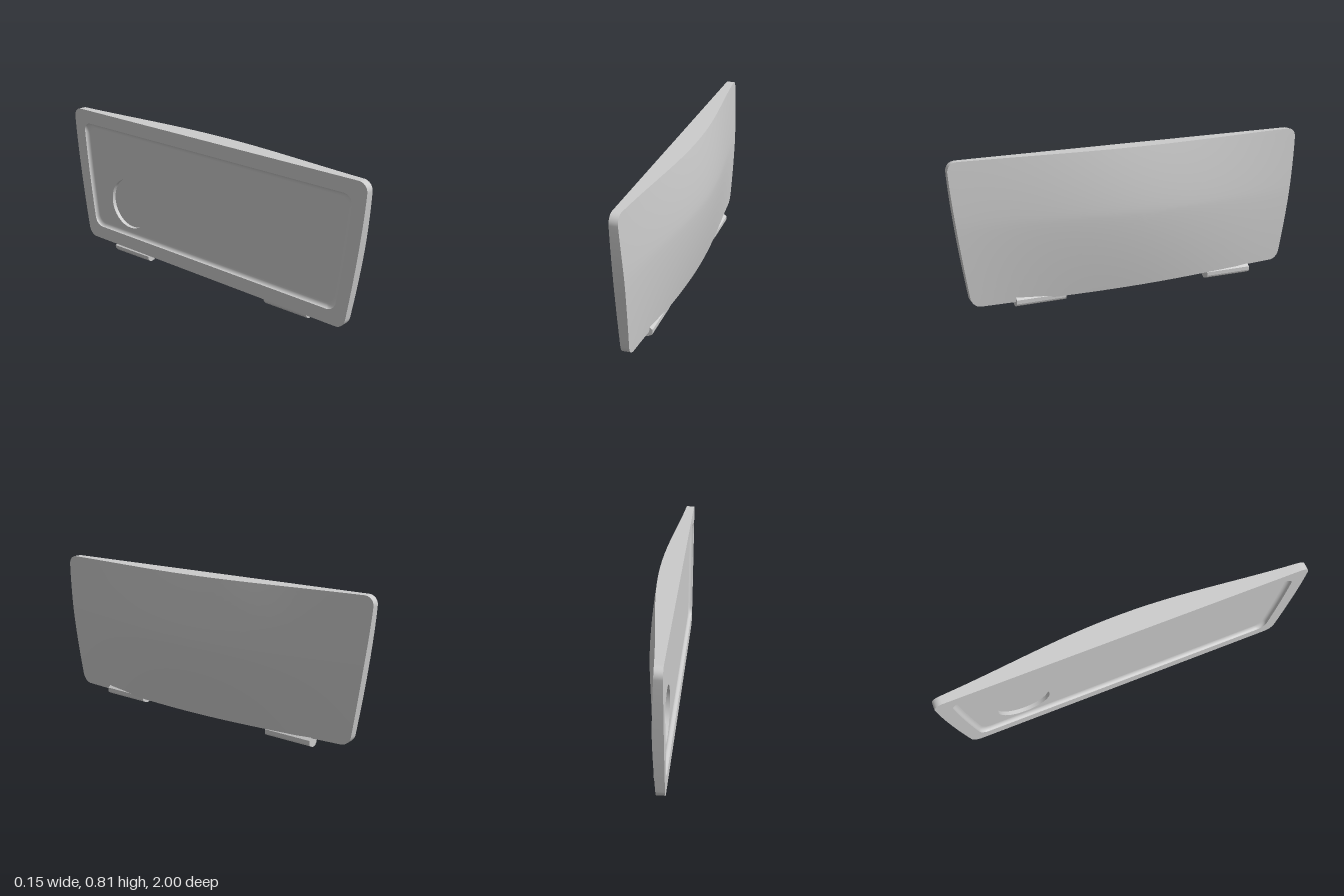
import * as THREE from 'three';

const BACK = -0.077, FLOOR = -0.057, POCKET = -0.035;
const material = new THREE.MeshStandardMaterial({ color: 0xcccccc });

// Bulged outer face: x as a function of height and length
function frontX(y, z) {
  const drop = 0.176 * Math.pow(Math.abs(y - 0.46), 1.5);
  const end = -0.026 - 0.3 * drop;
  const middle = 0.074 - drop;
  const bell = 0.3 * (1 + Math.cos(Math.PI * z)) + 0.4 * (1 - z * z);
  return end + bell * (middle - end);
}

// Rounded, tapered and slightly skewed outline as [z, y], inset by m
function outline(m, r) {
  const w = 1 - m, y0 = 0.04 + m, y1 = 0.8 - m;
  const corners = [[w, y0, 1, -1], [w, y1, 1, 1], [-w, y1, -1, 1], [-w, y0, -1, -1]];
  const arcs = corners.map(([a, y, sa, sy], i) => {
    const arc = [];
    for (let k = 0; k <= 8; k++) {
      const t = (i - 1 + k / 8) * Math.PI / 2;
      arc.push([a - sa * r + r * Math.cos(t), y - sy * r + r * Math.sin(t)]);
    }
    return arc;
  });
  const points = [];
  arcs.forEach((arc, i) => {
    points.push(...arc);
    const p = arc[8], q = arcs[(i + 1) % 4][0];
    for (let k = 1; k < 24; k++) {
      points.push([p[0] + (q[0] - p[0]) * k / 24, p[1] + (q[1] - p[1]) * k / 24]);
    }
  });
  return points.map(([a, y]) => {
    const t = Math.min(1, Math.max(0, (y - 0.04) / 0.76));
    const z = a * (0.905 + 0.095 * (1 - Math.pow(1 - t, 1.4)));
    return [z, y - 0.0155 * z];
  });
}

// Closed rings of [x, y, z] points joined into a skin
function loft(rings) {
  const n = rings[0].length, index = [];
  for (let r = 0; r < rings.length - 1; r++) {
    for (let k = 0; k < n; k++) {
      const a = r * n + k, b = r * n + (k + 1) % n;
      index.push(a, b, b + n, a, b + n, a + n);
    }
  }
  const geometry = new THREE.BufferGeometry();
  geometry.setAttribute('position', new THREE.Float32BufferAttribute(rings.flat(2), 3));
  geometry.setIndex(index);
  geometry.computeVertexNormals();
  return geometry;
}

const ringAt = (points, x) => points.map(([z, y]) => [x, y, z]);
const toVectors = (points) => points.map(([z, y]) => new THREE.Vector2(z, y));

export function createModel() {
  const group = new THREE.Group();
  const add = (name, geometry) => {
    const mesh = new THREE.Mesh(geometry, material);
    mesh.name = name;
    group.add(mesh);
    return mesh;
  };

  // Curved outer face, in rings growing from the centre
  const edge = outline(0, 0.05);
  const faceRings = [];
  for (let i = 0; i <= 20; i++) {
    const s = i / 20;
    faceRings.push(edge.map(([z, y]) => {
      const pz = z * s, py = 0.42 + (y - 0.42) * s;
      return [frontX(py, pz), py, pz];
    }));
  }
  add('outerFace', loft(faceRings));

  // Rim and flat border on the back
  const backEdge = ringAt(edge, BACK);
  add('rim', loft([faceRings[20], backEdge]));
  add('backBorder', loft([backEdge, ringAt(outline(0.075, 0.05), BACK)]));

  // Filleted wall of the shallow recess
  const wall = [];
  for (let i = 0; i <= 6; i++) {
    const t = i / 6 * Math.PI / 2;
    wall.push(ringAt(outline(0.075 + 0.025 * (1 - Math.cos(t)), 0.05),
      BACK + (FLOOR - BACK) * Math.sin(t)));
  }
  add('recessWall', loft(wall));

  // Recess floor with a round pocket
  const circle = [];
  for (let i = 0; i < 48; i++) {
    const t = i / 48 * Math.PI * 2;
    circle.push([-0.58 + 0.145 * Math.cos(t), 0.315 + 0.145 * Math.sin(t)]);
  }
  const floorShape = new THREE.Shape(toVectors(outline(0.1, 0.05)));
  floorShape.holes.push(new THREE.Path(toVectors(circle)));
  const flat = (shape, x) => new THREE.ShapeGeometry(shape).rotateY(-Math.PI / 2).translate(x, 0, 0);
  add('recessFloor', flat(floorShape, FLOOR));
  add('pocketWall', loft([ringAt(circle, FLOOR), ringAt(circle, POCKET)]));
  add('pocketFloor', flat(new THREE.Shape(toVectors(circle)), POCKET));

  // Two hinge clips under the lower edge
  const clip = new THREE.Shape([
    [-0.07, 0.035], [-0.067, 0.018], [-0.056, 0.005], [-0.043, 0], [-0.025, 0.003],
    [-0.003, 0.014], [0, 0.022], [0, 0.042], [-0.016, 0.054], [-0.04, 0.054],
  ].map(([x, y]) => new THREE.Vector2(x, y)));
  for (const z of [-0.7, 0.41]) {
    const geometry = new THREE.ExtrudeGeometry(clip, { depth: 0.27, bevelEnabled: false });
    add('hingeClip', geometry).position.z = z;
  }
  return group;
}
